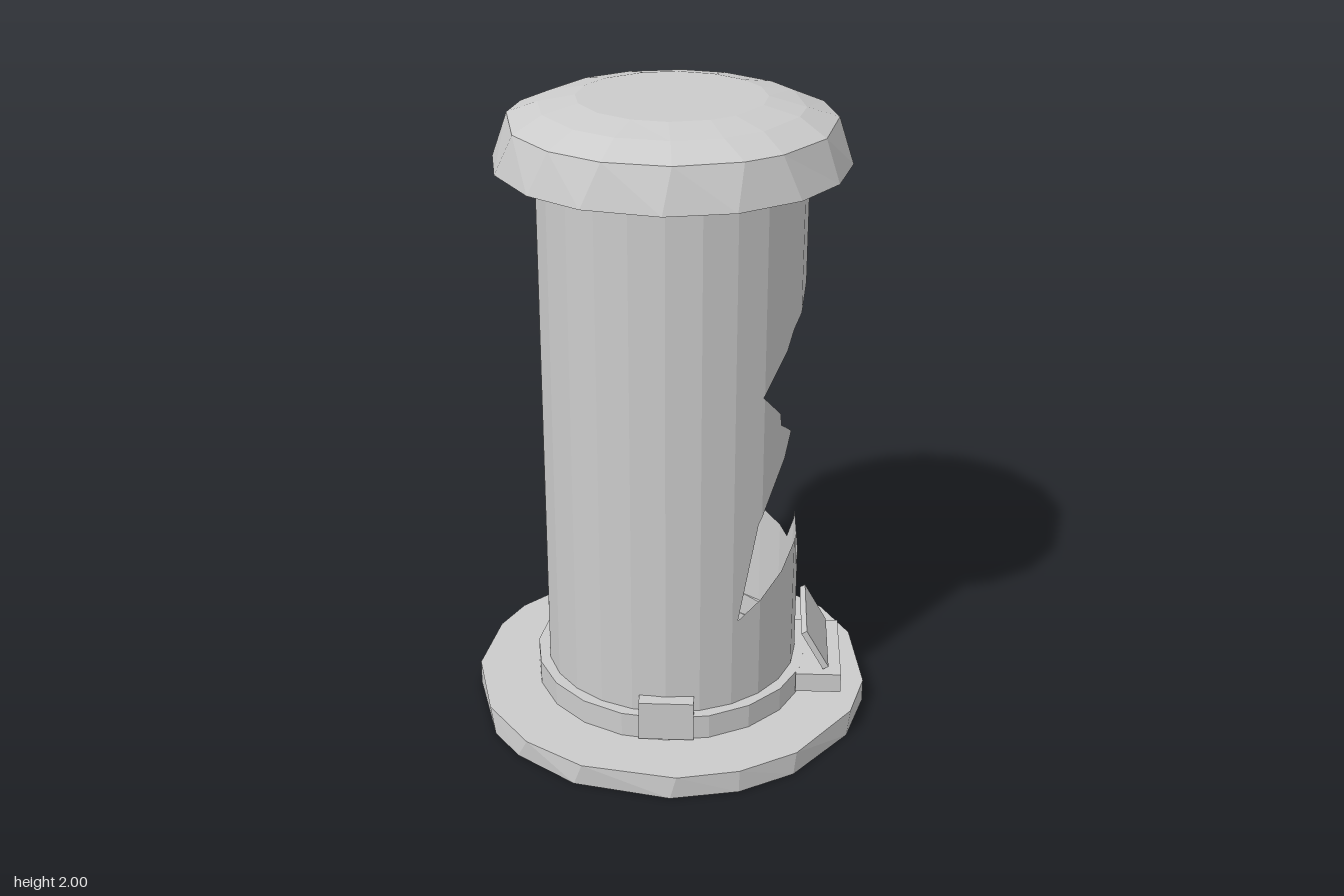
import * as THREE from 'three';

const material = new THREE.MeshStandardMaterial({ color: 0xcccccc, flatShading: true });
const thin = new THREE.MeshStandardMaterial({ color: 0xcccccc, flatShading: true, side: THREE.DoubleSide });

function add(group, name, geometry, mat = material) {
  const mesh = new THREE.Mesh(geometry, mat);
  mesh.name = name;
  group.add(mesh);
  return mesh;
}

// Lathe whose outer corners are shifted unevenly around the axis, for a hand-hewn look
function roughLathe(profile, sides, wobble, seed) {
  const n = profile.length;
  const geo = new THREE.LatheGeometry(profile.map(p => new THREE.Vector2(...p)), sides);
  const pos = geo.attributes.position;
  for (let k = 0; k < pos.count; k++) {
    const i = Math.floor(k / n) % sides;
    const [r, y] = profile[k % n];
    if (r < 0.1) continue;
    const h = Math.sin(i * 12.9898 + r * 78.233 + y * 37.719 + seed) * 43758.5453;
    const amount = r > 0.42 || y > 1.9 ? wobble : 0;
    const a = (i / sides) * Math.PI * 2 + (h - Math.floor(h) - 0.5) * amount;
    pos.setXYZ(k, Math.sin(a) * r, y, Math.cos(a) * r);
  }
  return geo;
}

// Faceted tube with a ragged opening on +x; outline is a loop of [z, y] points
function tornTube(radius, y0, y1, sides, outline) {
  const step = (Math.PI * 2) / sides;
  const loop = outline.map(([z, y]) => [Math.asin(z / radius), y]);
  const cuts = loop.map(p => p[0]);
  for (let i = 0; i <= sides; i++) cuts.push(-Math.PI + i * step);
  cuts.sort((a, b) => a - b);
  const corner = i => {
    const a = -Math.PI + i * step;
    return [Math.cos(a) * radius, Math.sin(a) * radius];
  };
  const place = (a, y, i) => {
    const t = (a + Math.PI) / step - i;
    const p = corner(i), q = corner(i + 1);
    return [p[0] + (q[0] - p[0]) * t, y, p[1] + (q[1] - p[1]) * t];
  };
  const out = [];
  for (let k = 0; k + 1 < cuts.length; k++) {
    const a = cuts[k], b = cuts[k + 1];
    if (b - a < 1e-6) continue;
    const mid = (a + b) / 2;
    const facet = Math.floor((mid + Math.PI) / step);
    // Edges of the opening that cross this narrow column
    const spans = [[y0, y0], [y1, y1]];
    loop.forEach((p, i) => {
      const q = loop[(i + 1) % loop.length];
      if ((p[0] < mid) === (q[0] < mid)) return;
      const at = x => p[1] + ((q[1] - p[1]) * (x - p[0])) / (q[0] - p[0]);
      spans.push([at(a), at(b)]);
    });
    spans.sort((s, t) => s[0] + s[1] - t[0] - t[1]);
    for (let s = 0; s + 1 < spans.length; s += 2) {
      const A = place(a, spans[s][0], facet), B = place(b, spans[s][1], facet);
      const C = place(b, spans[s + 1][1], facet), D = place(a, spans[s + 1][0], facet);
      out.push(...A, ...C, ...B, ...A, ...D, ...C);
    }
  }
  const geo = new THREE.BufferGeometry();
  geo.setAttribute('position', new THREE.Float32BufferAttribute(out, 3));
  geo.computeVertexNormals();
  return geo;
}

export function createModel() {
  const model = new THREE.Group();
  model.name = 'brokenPillar';

  // Base flange with an open centre
  add(model, 'baseFlange', roughLathe(
    [[0.4, 0], [0.635, 0], [0.635, 0.075], [0.4, 0.075], [0.4, 0]], 17, 0.16, 1));

  // Collar around the foot of the tube, with a tab at front and back
  add(model, 'collar', roughLathe(
    [[0.4, 0.07], [0.44, 0.07], [0.44, 0.155], [0.4, 0.155], [0.4, 0.07]], 20, 0, 2));
  for (const side of [1, -1]) {
    add(model, side > 0 ? 'frontTab' : 'backTab', new THREE.BoxGeometry(0.17, 0.13, 0.045))
      .position.set(0.003, 0.145, side * 0.42);
  }

  // Torn tube wall
  add(model, 'tube', tornTube(0.405, 0.07, 1.82, 24, [
    [-0.15, 1.52], [-0.285, 1.33], [-0.225, 1.15], [-0.29, 1.0], [-0.335, 0.8], [-0.285, 0.52],
    [-0.15, 0.485], [-0.08, 0.615], [0, 0.52], [0.045, 0.485], [0.085, 0.62], [0.34, 0.45],
    [0.295, 0.765], [0.16, 1.015], [0.22, 1.06], [0.225, 1.1], [0.29, 1.18], [0.16, 1.345],
  ]), thin);

  // Ledge and the loose plate leaning above it
  add(model, 'ledge', new THREE.BoxGeometry(0.145, 0.065, 0.335)).position.set(0.48, 0.122, 0.002);
  const plate = add(model, 'loosePlate', new THREE.BoxGeometry(0.02, 0.15, 0.295));
  plate.position.set(0.467, 0.232, 0.002);
  plate.rotation.z = 0.51;

  // Domed cap with a flared rim and a closed underside
  add(model, 'cap', roughLathe(
    [[0, 1.81], [0.53, 1.81], [0.487, 1.937], [0.39, 1.978], [0.28, 2], [0, 2]], 16, 0.14, 3));

  return model;
}
